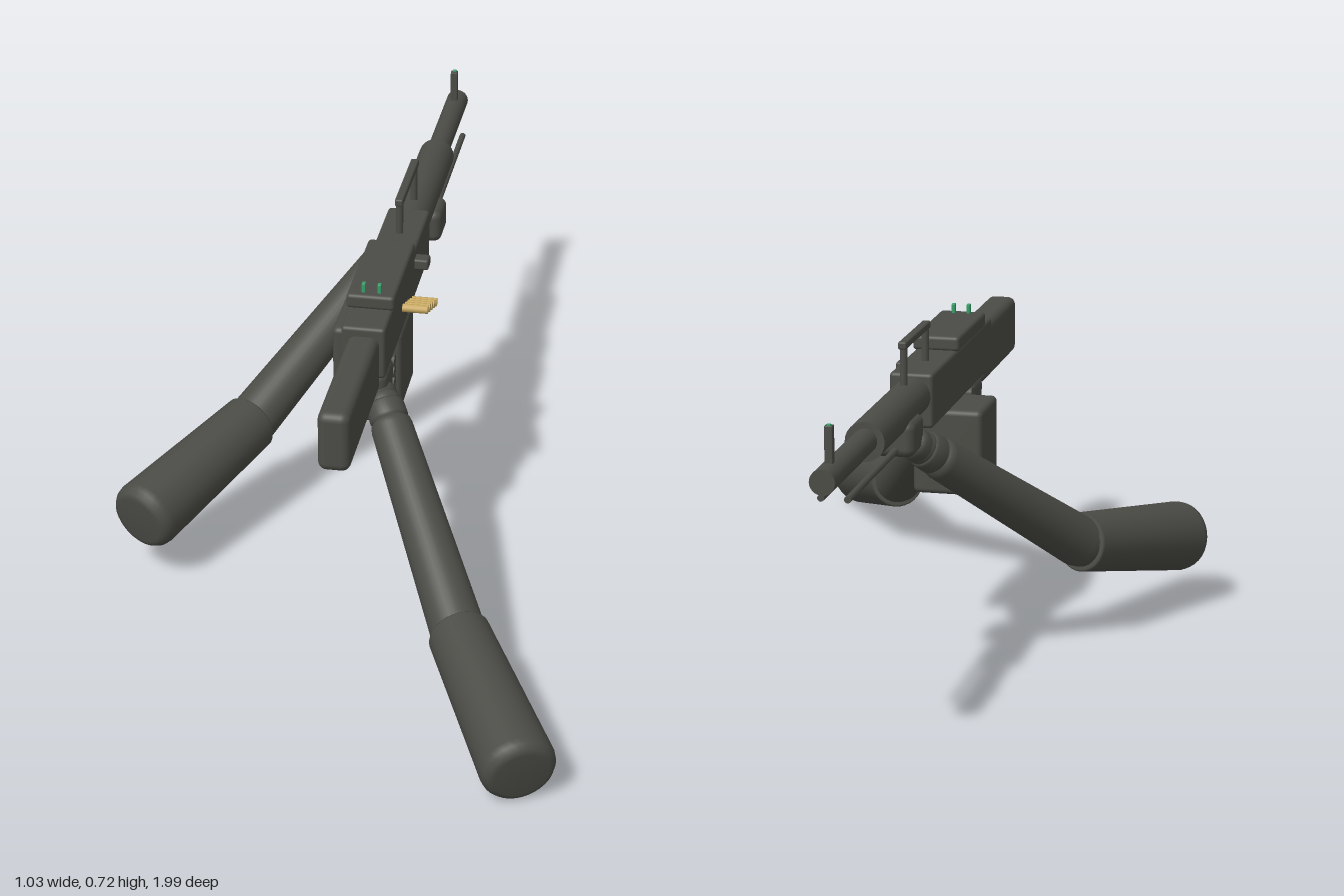
import * as THREE from 'three';
import { RoundedBoxGeometry } from 'three/addons/geometries/RoundedBoxGeometry.js';

const gunmetal = new THREE.MeshStandardMaterial({ color: 0x4b4c46 });
gunmetal.name = 'dark grey';
const brass = new THREE.MeshStandardMaterial({ color: 0xc8a860 });
brass.name = 'brass';
const green = new THREE.MeshStandardMaterial({ color: 0x35a068 });
green.name = 'sight green';

const V = (x, y, z) => new THREE.Vector3(x, y, z);
const UP = V(0, 1, 0);
const CX = 0.021; // centre plane of the weapon

export function createModel() {
  const model = new THREE.Group();

  const add = (name, geometry, material = gunmetal, parent = model) => {
    const mesh = new THREE.Mesh(geometry, material);
    mesh.name = name;
    parent.add(mesh);
    return mesh;
  };

  // Box given by its limits on each axis
  const box = (name, [x0, x1], [y0, y1], [z0, z1], r = 0.006, material = gunmetal) => {
    const mesh = add(name, new RoundedBoxGeometry(x1 - x0, y1 - y0, z1 - z0, 3, r), material);
    mesh.position.set((x0 + x1) / 2, (y0 + y1) / 2, (z0 + z1) / 2);
    return mesh;
  };

  // Cylinder between two points
  const rod = (name, a, b, r0, r1 = r0, material = gunmetal, sides = 24) => {
    const d = b.clone().sub(a);
    const mesh = add(name, new THREE.CylinderGeometry(r1, r0, d.length(), sides), material);
    mesh.position.copy(a).addScaledVector(d, 0.5);
    mesh.quaternion.setFromUnitVectors(UP, d.normalize());
    return mesh;
  };

  const ball = (name, p, r, parent = model) => {
    const mesh = add(name, new THREE.SphereGeometry(r, 24, 16), gunmetal, parent);
    mesh.position.copy(p);
    return mesh;
  };

  // Main body
  box('stock', [-0.011, 0.055], [0.495, 0.625], [0.25, 0.6], 0.018);
  box('receiver', [-0.024, 0.068], [0.53, 0.645], [-0.3, 0.27], 0.008);
  box('topCover', [-0.029, 0.072], [0.643, 0.675], [-0.08, 0.185], 0.008);
  box('chargingHandle', [0.06, 0.098], [0.601, 0.625], [-0.125, -0.092], 0.005);
  rod('barrelShroud', V(CX, 0.597, -0.29), V(CX, 0.597, -0.685), 0.04);
  rod('barrel', V(CX, 0.599, -0.68), V(CX, 0.599, -1), 0.025);

  // Folded bipod legs
  for (const s of [-1, 1])
    rod('bipodLeg', V(CX + s * 0.026, 0.545, -0.545), V(CX + s * 0.026, 0.545, -0.915), 0.007, 0.007, gunmetal, 12);

  // Sights
  box('frontSight', [CX - 0.008, CX + 0.008], [0.61, 0.695], [-0.953, -0.937], 0.002);
  box('frontSightDot', [CX - 0.004, CX + 0.004], [0.692, 0.698], [-0.951, -0.943], 0.001, green);
  for (const x of [0.005, 0.038])
    box('rearSightDot', [x - 0.004, x + 0.004], [0.672, 0.695], [0.158, 0.17], 0.002, green);

  // Carry handle
  for (const z of [-0.178, -0.366])
    rod('handlePost', V(CX, 0.62, z), V(CX, 0.722, z), 0.008, 0.008, gunmetal, 12);
  box('handleBar', [CX - 0.009, CX + 0.009], [0.712, 0.728], [-0.38, -0.165], 0.004);

  // Ammunition box and belt
  box('ammoBox', [-0.084, 0.066], [0.336, 0.522], [-0.105, 0.055], 0.012);
  for (let i = 0; i < 5; i++) {
    const z = 0.055 - i * 0.03, y = 0.586 - i * 0.011;
    rod('cartridge', V(0.05, y, z), V(0.122, y, z), 0.009, 0.009, brass, 12);
  }

  // Pistol grip, raked back
  const grip = box('pistolGrip', [-0.001, 0.043], [0.39, 0.55], [0.14, 0.205], 0.012);
  grip.rotation.x = -0.15;

  // Hands
  box('rearHand', [-0.012, 0.066], [0.42, 0.525], [0.145, 0.24], 0.02);
  for (let i = 0; i < 4; i++)
    rod('finger', V(-0.01, 0.503 - i * 0.025, 0.137), V(0.066, 0.503 - i * 0.025, 0.137), 0.0125, 0.0125, gunmetal, 14);
  box('frontHand', [-0.03, 0.077], [0.515, 0.59], [-0.492, -0.395], 0.018);

  // Arm: turned forearm with a cuff, and a wider upper arm with a rounded end
  const turned = (name, a, b, profile, parent) => {
    const d = b.clone().sub(a), len = d.length();
    const pts = profile.map(([r, t, off = 0]) => new THREE.Vector2(r, t * len + off));
    const mesh = add(name, new THREE.LatheGeometry(pts, 32), gunmetal, parent);
    mesh.position.copy(a);
    mesh.quaternion.setFromUnitVectors(UP, d.normalize());
  };
  const arm = (name, hand, wrist, elbow, shoulder) => {
    const group = new THREE.Group();
    group.name = name;
    model.add(group);
    turned('wrist', hand, wrist, [[0, 0], [0.026, 0], [0.034, 0.4], [0.034, 1], [0, 1]], group);
    ball('wristJoint', wrist, 0.036, group);
    turned('forearm', wrist, elbow, [
      [0, 0], [0.035, 0], [0.04, 0, 0.006], [0.041, 0, 0.036], [0.036, 0, 0.041],
      [0.036, 0, 0.043], [0.042, 0, 0.048], [0.044, 0, 0.06],
      [0.056, 1, -0.006], [0.052, 1], [0, 1],
    ], group);
    ball('elbow', elbow, 0.053, group);
    turned('upperArm', elbow, shoulder, [
      [0, 0], [0.06, 0], [0.064, 0, 0.005], [0.077, 1, -0.03],
      [0.0745, 1, -0.016], [0.067, 1, -0.005], [0.055, 1], [0, 1],
    ], group);
  };
  arm('rearArm', V(0.04, 0.475, 0.2), V(0.06, 0.452, 0.232), V(0.28, 0.16, 0.62), V(0.457, 0.081, 0.965));
  arm('frontArm', V(0.0, 0.535, -0.42), V(-0.022, 0.511, -0.383), V(-0.283, 0.228, -0.028), V(-0.456, 0.158, 0.312));

  return model;
}
